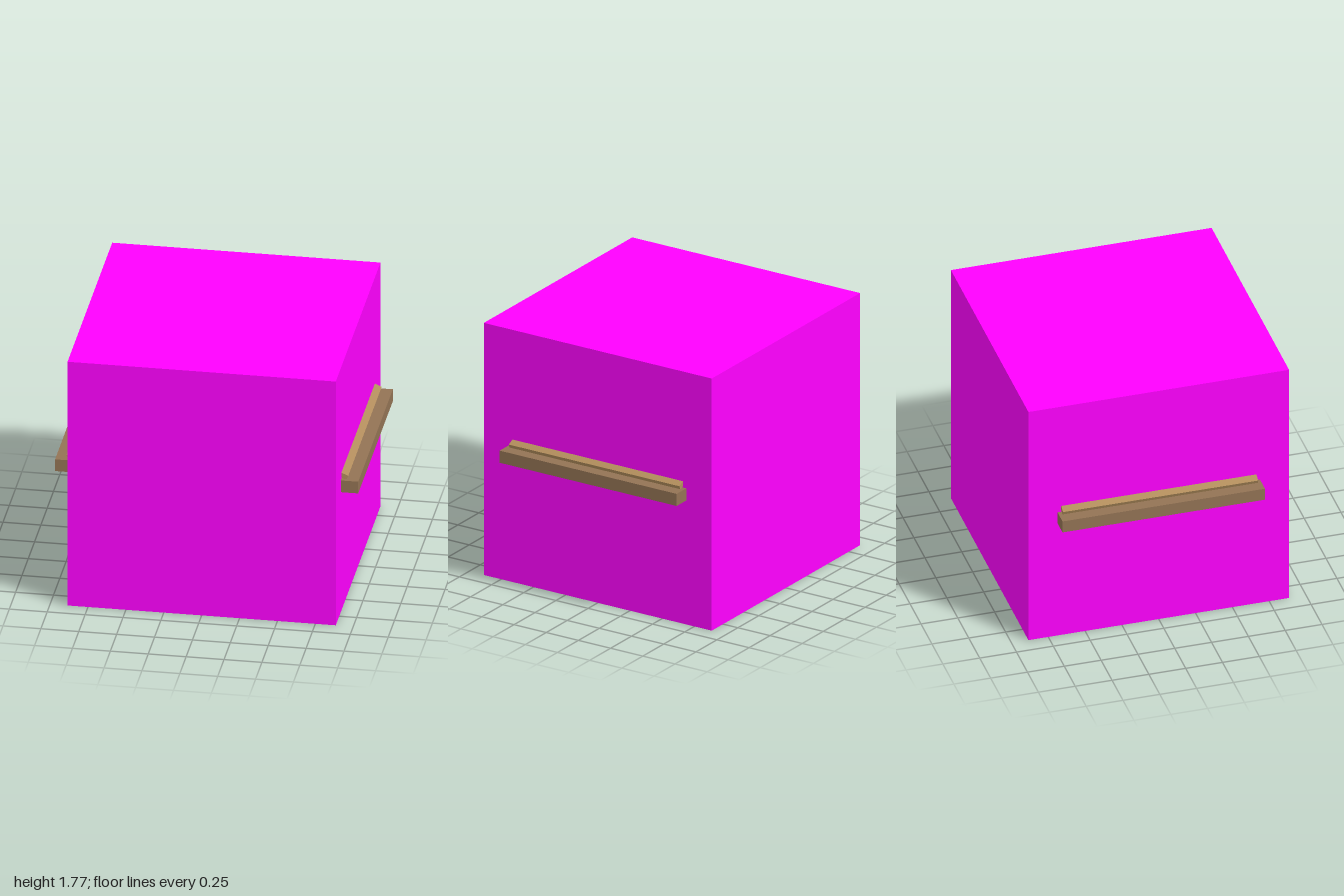
import * as THREE from 'three';

const material = (color) => new THREE.MeshStandardMaterial({ color, flatShading: true });

export function createModel() {
  const model = new THREE.Group();
  const size = 1.77;
  const magenta = material(0xff00ff);
  const darkWood = material(0x937354);
  const lightWood = material(0xb28d5c);

  function addBox(parent, name, dims, position, mat) {
    const mesh = new THREE.Mesh(new THREE.BoxGeometry(...dims), mat);
    mesh.name = name;
    mesh.position.set(...position);
    parent.add(mesh);
    return mesh;
  }

  // Main cube
  addBox(model, 'body', [size, size, size], [0, size / 2, 0], magenta);

  // A ledge with a tilted slat on each side, set slightly into the cube
  for (const side of [1, -1]) {
    const ledge = new THREE.Group();
    ledge.name = side > 0 ? 'leftLedge' : 'rightLedge';
    addBox(ledge, 'rail', [0.14, 0.085, 1.375], [side * 0.93, 0.913, 0], darkWood);

    // The slat slopes down and outward; its outer top edge sits at x 0.93, y 0.98
    const tilt = 0.42, width = 0.1, thickness = 0.032;
    const x = 0.93 - (width * Math.cos(tilt) + thickness * Math.sin(tilt)) / 2;
    const y = 0.98 + (width * Math.sin(tilt) - thickness * Math.cos(tilt)) / 2;
    const slat = addBox(ledge, 'slat', [width, thickness, 1.325], [side * x, y, 0], lightWood);
    slat.rotation.z = -side * tilt;
    model.add(ledge);
  }
  return model;
}
